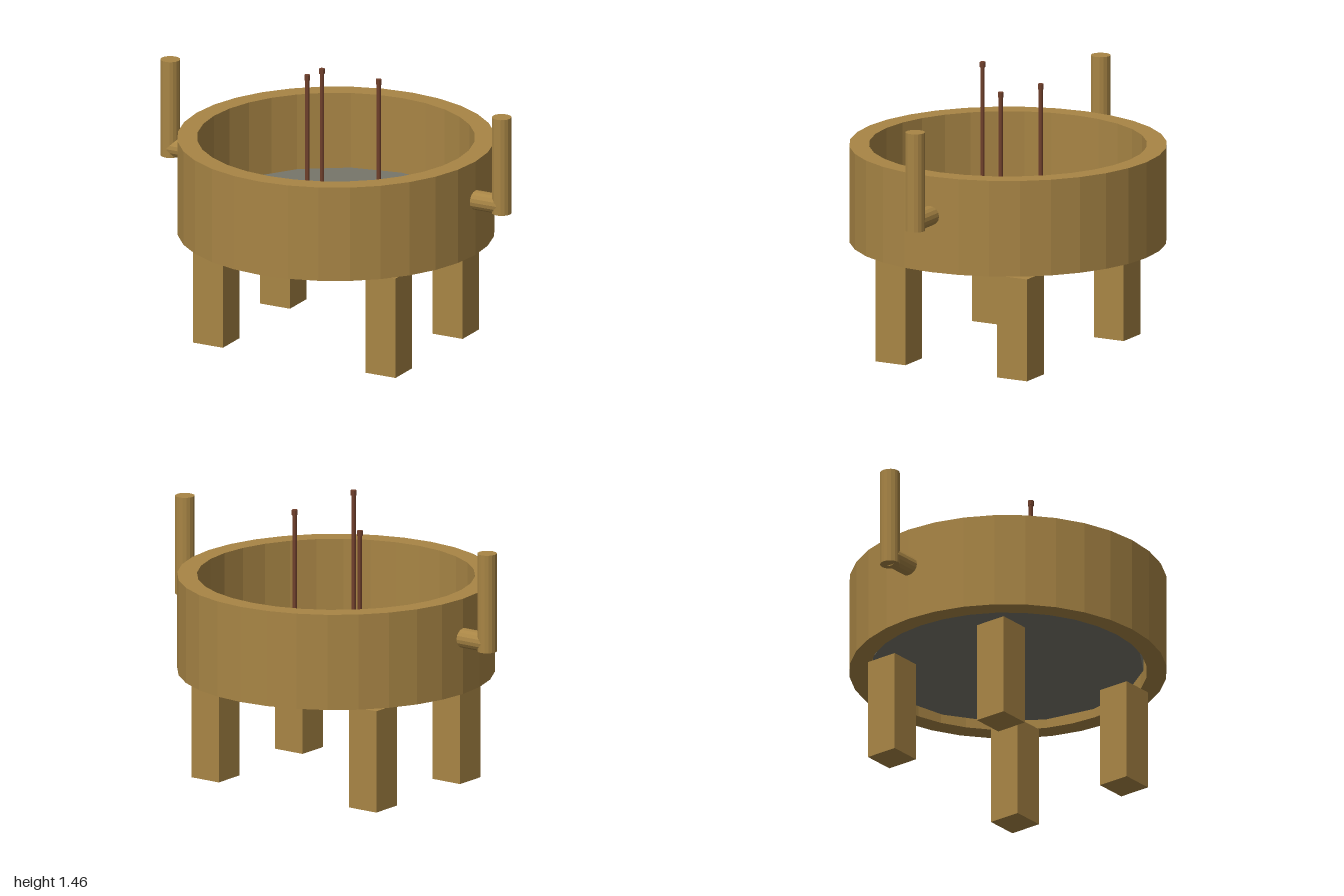
import * as THREE from 'three';

export function createModel() {
  const root = new THREE.Group();
  root.name = 'incenseCauldron';

  const mat = (name, color) => {
    const m = new THREE.MeshStandardMaterial({ color, flatShading: true });
    m.name = name;
    return m;
  };
  const bronze = mat('bronze', 0xa88545);
  const ash = mat('ash', 0x77766a);
  const stickBrown = mat('stickBrown', 0x70402c);

  const add = (parent, name, geometry, material, x, y, z) => {
    const mesh = new THREE.Mesh(geometry, material);
    mesh.name = name;
    mesh.position.set(x, y, z);
    parent.add(mesh);
    return mesh;
  };

  // Open ring wall, closed rectangular section
  const [inner, outer, low, high] = [0.7, 0.8, 0.56, 1.055];
  const section = [[inner, low], [outer, low], [outer, high], [inner, high], [inner, low]]
    .map(([r, y]) => new THREE.Vector2(r, y));
  add(root, 'bowlWall', new THREE.LatheGeometry(section, 32), bronze, 0, 0, 0);

  // Bed of ash inside the ring
  add(root, 'ashBed', new THREE.CylinderGeometry(0.685, 0.685, 0.065, 16), ash, 0, 0.632, 0);

  // Four square legs
  const legGeo = new THREE.BoxGeometry(0.172, 0.527, 0.172);
  for (const sx of [-1, 1]) {
    for (const sz of [-1, 1]) {
      add(root, 'leg', legGeo, bronze, sx * 0.495, 0.2635, sz * 0.351);
    }
  }

  // Elbow handles: a short bar out of the wall and an upright post
  const barGeo = new THREE.CylinderGeometry(0.05, 0.05, 0.2, 16).rotateZ(Math.PI / 2);
  const postGeo = new THREE.CylinderGeometry(0.05, 0.05, 0.508, 16);
  for (const side of [-1, 1]) {
    const handle = new THREE.Group();
    handle.name = side > 0 ? 'leftHandle' : 'rightHandle';
    add(handle, 'handleBar', barGeo, bronze, side * 0.845, 0.852, 0);
    add(handle, 'handlePost', postGeo, bronze, side * 0.95, 1.061, 0);
    root.add(handle);
  }

  // Three incense sticks with slightly wider tips: x, z, top height
  const tipHeight = 0.027, base = 0.65;
  for (const [x, z, top] of [[0, 0.147, 1.462], [0.205, -0.073, 1.374], [-0.205, -0.073, 1.331]]) {
    const length = top - tipHeight - base;
    const stick = new THREE.Group();
    stick.name = 'incenseStick';
    add(stick, 'stickShaft', new THREE.CylinderGeometry(0.0115, 0.0115, length, 8), stickBrown,
      x, base + length / 2, z);
    add(stick, 'stickTip', new THREE.CylinderGeometry(0.015, 0.015, tipHeight, 8), stickBrown,
      x, top - tipHeight / 2, z);
    root.add(stick);
  }

  return root;
}
